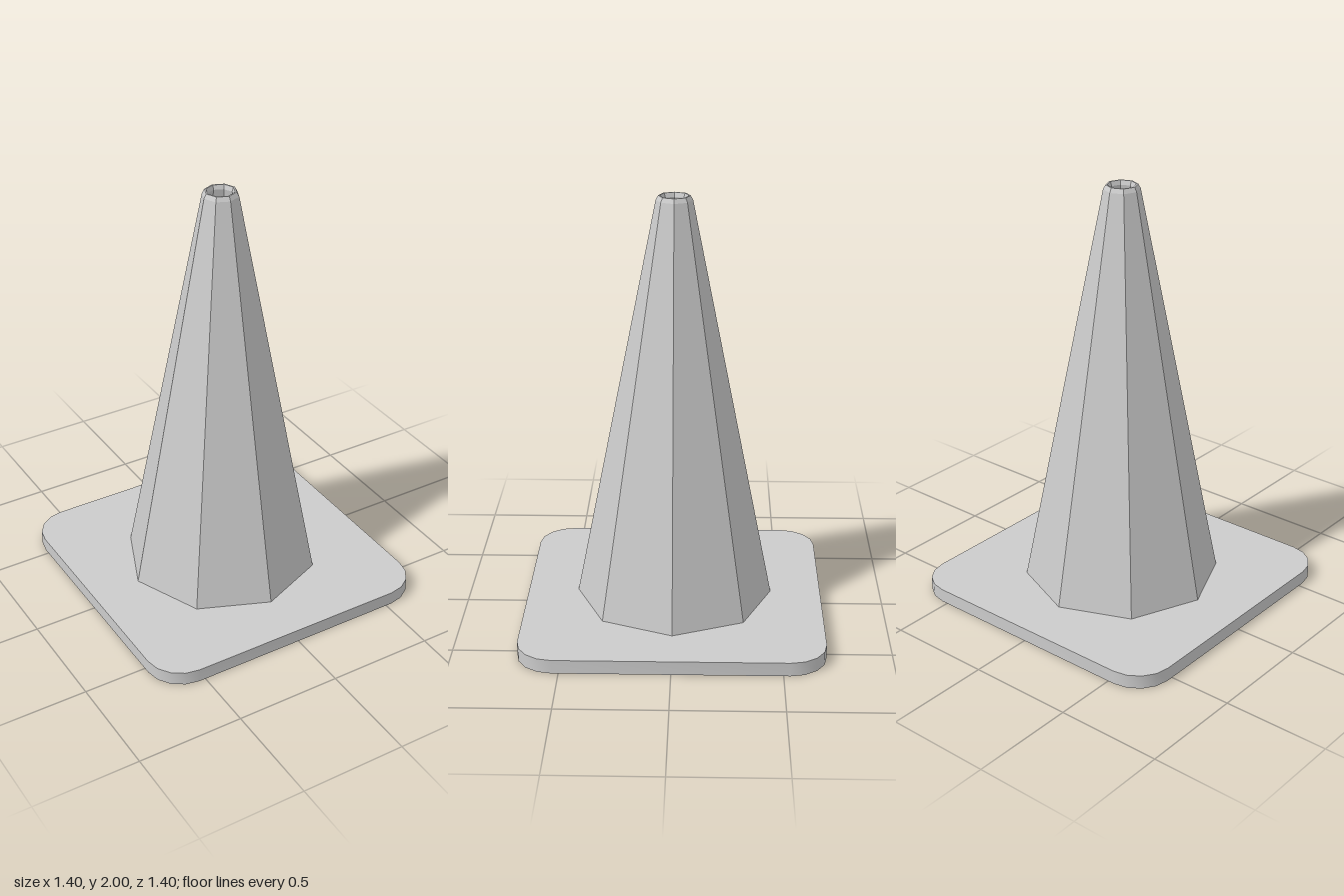
import * as THREE from 'three';
import { toCreasedNormals } from 'three/addons/utils/BufferGeometryUtils.js';

const SIDES = 8;
const PLATE = 0.065; // plate thickness
const INNER = 0.433; // inner radius where the cone meets the plate
const RIM = 0.48; // flared opening on the underside

// Square plate with rounded corners and a flared octagonal opening
function plateGeometry() {
  const half = 0.7, r = 0.17, c = half - r;
  const shape = new THREE.Shape();
  [[c, c], [-c, c], [-c, -c], [c, -c]].forEach(([x, y], i) =>
    shape.absarc(x, y, r, i * Math.PI / 2, (i + 1) * Math.PI / 2, false));
  shape.closePath();

  const corners = [];
  for (let i = 0; i < SIDES; i++) {
    const a = -i * 2 * Math.PI / SIDES;
    corners.push(new THREE.Vector2(Math.cos(a) * INNER, Math.sin(a) * INNER));
  }
  shape.holes.push(new THREE.Path(corners));

  const geo = new THREE.ExtrudeGeometry(shape, { depth: PLATE, bevelEnabled: false, curveSegments: 2 });
  geo.rotateX(-Math.PI / 2);

  // Widen the opening at the bottom
  const p = geo.attributes.position;
  for (let i = 0; i < p.count; i++) {
    if (p.getY(i) < 0.01 && Math.hypot(p.getX(i), p.getZ(i)) < 0.5) {
      p.setX(i, p.getX(i) * RIM / INNER);
      p.setZ(i, p.getZ(i) * RIM / INNER);
    }
  }
  return toCreasedNormals(geo, 0.7);
}

// Hollow cone: up the outside, over the bevelled lip, down the inside
function coneGeometry() {
  const profile = [
    [0.462, PLATE], [0.083, 1.98], [0.072, 2], [0.065, 2], [0.058, 1.98], [INNER, PLATE],
  ].map(([r, y]) => new THREE.Vector2(r, y));
  return new THREE.LatheGeometry(profile, SIDES);
}

export function createModel() {
  const model = new THREE.Group();
  model.name = 'trafficCone';

  const plate = new THREE.Mesh(plateGeometry(), new THREE.MeshStandardMaterial({ color: 0xcccccc }));
  plate.name = 'basePlate';

  const cone = new THREE.Mesh(coneGeometry(),
    new THREE.MeshStandardMaterial({ color: 0xcccccc, flatShading: true }));
  cone.name = 'coneBody';

  model.add(plate, cone);
  return model;
}
